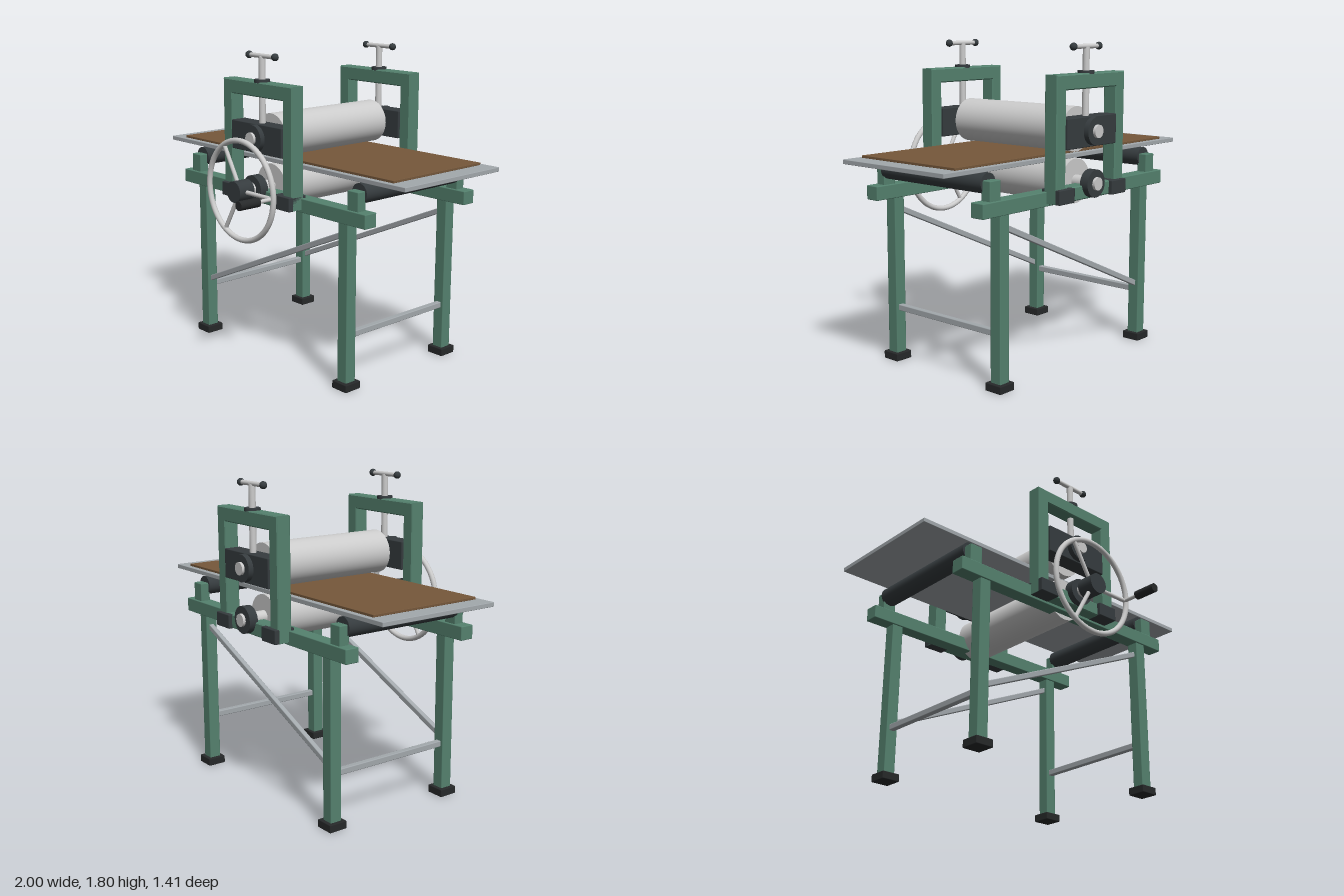
import * as THREE from 'three';
import { RoundedBoxGeometry } from 'three/addons/geometries/RoundedBoxGeometry.js';

const mat = (color) => new THREE.MeshStandardMaterial({ color });
const green = mat(0x55826f), steel = mat(0xa3a9ad), bright = mat(0xc6c8ca);
const dark = mat(0x363c3f), rubber = mat(0x27292a), felt = mat(0x76583b);

const MID = -0.15; // z of the machine's centre line

export function createModel() {
  const model = new THREE.Group();
  model.name = 'rollerPress';

  const add = (name, geo, material, x, y, z, parent = model) => {
    const m = new THREE.Mesh(geo, material);
    m.name = name;
    m.position.set(x, y, z);
    parent.add(m);
    return m;
  };
  const box = (name, w, h, d, material, x, y, z, r = 0.005) =>
    add(name, new RoundedBoxGeometry(w, h, d, 1, r), material, x, y, z);
  // cylinder along z between two depths
  const rod = (name, r, z0, z1, material, x, y, seg = 32) =>
    add(name, new THREE.CylinderGeometry(r, r, Math.abs(z1 - z0), seg).rotateX(Math.PI / 2),
      material, x, y, (z0 + z1) / 2);
  const post = (name, r, y0, y1, material, x, z) =>
    add(name, new THREE.CylinderGeometry(r, r, y1 - y0, 24), material, x, (y0 + y1) / 2, z);

  // Upright frame outline with a window
  const rect = (T, x, y0, y1) =>
    new T([[-x, y0], [x, y0], [x, y1], [-x, y1]].map(([a, b]) => new THREE.Vector2(a, b)));
  const bevel = 0.006;
  const outline = rect(THREE.Shape, 0.295 - bevel, 0.957 + bevel, 1.635 - bevel);
  outline.holes.push(rect(THREE.Path, 0.217 + bevel, 1.035 - bevel, 1.553 + bevel));
  const frameGeo = new THREE.ExtrudeGeometry(outline, {
    depth: 0.086 - 2 * bevel, bevelThickness: bevel, bevelSize: bevel, bevelSegments: 1,
  });
  frameGeo.translate(0, 0, -0.043 + bevel);

  for (const s of [1, -1]) {
    const zr = MID + s * 0.395; // rail and legs
    const zf = MID + s * 0.462; // upright frame

    // Stand
    box('sideRail', 1.57, 0.08, 0.085, green, 0, 0.98, zr);
    for (const x of [-0.615, 0.615]) {
      box('leg', 0.07, 0.91, 0.07, green, x, 0.49, zr);
      box('foot', 0.11, 0.045, 0.11, rubber, x, 0.0225, zr);
    }
    const dx = 1.18, dy = 0.525;
    box('diagonalBrace', Math.hypot(dx, dy), 0.032, 0.03, steel, 0, 0.61, zr)
      .rotation.z = Math.atan2(dy, dx);

    // Pressure frame with its clamps and bearings
    add('uprightFrame', frameGeo, green, 0, 0, zf);
    for (const x of [-0.23, 0.23])
      box('frameClamp', 0.13, 0.08, 0.125, dark, x, 0.995, MID + s * 0.465);
    box('bearingBlock', 0.43, 0.165, 0.1, dark, 0, 1.322, zf);
    for (const y of [1.325, 1.04]) {
      rod('bearingFlange', 0.077, MID + s * 0.49, MID + s * 0.542, dark, 0, y);
      rod('shaftEnd', 0.036, MID + s * 0.39, MID + s * 0.558, bright, 0, y);
    }

    // Pressure screw with its T-handle
    post('pressureScrew', 0.019, 1.4, 1.775, bright, 0, zf);
    post('screwCollar', 0.045, 1.63, 1.648, dark, 0, zf);
    post('screwBar', 0.013, -0.11, 0.11, bright, 0, zf).rotation.z = Math.PI / 2;
    model.children.at(-1).position.y = 1.776;
    for (const x of [-0.11, 0.11])
      add('screwKnob', new THREE.SphereGeometry(0.021, 20, 14), dark, x, 1.776, zf);

    // Support roller brackets
    for (const x of [-0.68, 0.68])
      box('rollerBracket', 0.08, 0.11, 0.06, green, x, 1.07, MID + s * 0.395);
  }

  // End cross bars and small support rollers
  for (const x of [-1, 1]) {
    box('crossBar', 0.035, 0.035, 0.74, steel, x * 0.615, 0.308, MID);
    rod('supportRoller', 0.055, MID - 0.375, MID + 0.375, dark, x * 0.68, 1.106);
  }

  // Main rollers
  rod('upperRoller', 0.125, MID - 0.4, MID + 0.4, bright, 0, 1.327, 64);
  rod('lowerRoller', 0.125, MID - 0.4, MID + 0.4, bright, 0, 1.04, 64);

  // Sliding bed and blanket
  box('bed', 2, 0.025, 0.755, steel, 0, 1.178, MID - 0.003, 0.003);
  box('feltBlanket', 1.785, 0.014, 0.695, felt, 0, 1.197, MID - 0.003, 0.002);

  // Hand wheel
  const cy = 1.042, zw = 0.475;
  rod('wheelShaft', 0.03, 0.3, zw, bright, 0, cy);
  rod('wheelHub', 0.06, 0.423, 0.525, dark, 0, cy);
  add('wheelRim', new THREE.TorusGeometry(0.281, 0.016, 16, 72), bright, 0, cy, zw);
  for (let i = 0; i < 3; i++) {
    const a = (i * 2 * Math.PI) / 3;
    const spoke = new THREE.CylinderGeometry(0.012, 0.012, 0.25, 16).translate(0, 0.15, 0);
    add('wheelSpoke', spoke, bright, 0, cy, zw).rotation.z = a - Math.PI / 2;
  }
  rod('handlePin', 0.011, zw, 0.6, bright, 0.27, cy, 16);
  rod('handleGrip', 0.026, 0.572, 0.705, rubber, 0.27, cy, 24);

  return model;
}
